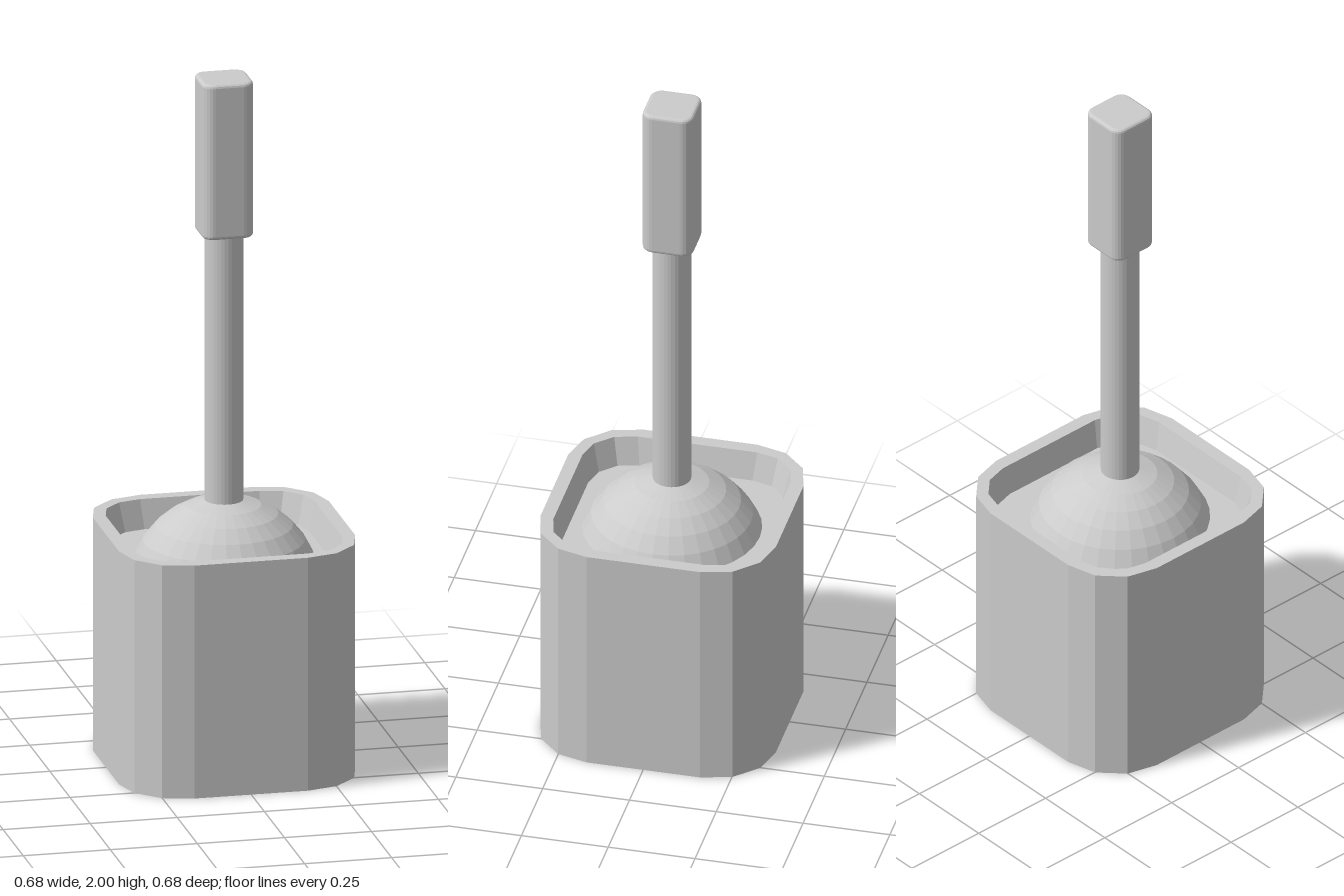
import * as THREE from 'three';

const material = new THREE.MeshStandardMaterial({ color: 0xcccccc, flatShading: true });

// Rounded square loop at height y, counter-clockwise seen from above
function roundedLoop(half, edge, y, steps) {
  const points = [];
  const r = half - edge;
  for (let corner = 0; corner < 4; corner++) {
    const turn = (corner * Math.PI) / 2;
    for (let i = 0; i <= steps; i++) {
      const a = (i / steps) * (Math.PI / 2);
      const u = edge + r * Math.cos(a);
      const v = edge + r * Math.sin(a);
      points.push([
        u * Math.cos(turn) - v * Math.sin(turn),
        y,
        -(u * Math.sin(turn) + v * Math.cos(turn)),
      ]);
    }
  }
  return points;
}

// Skin through a list of [half, edge, y] sections, closed with a fan at both ends
function loft(sections, steps) {
  const loops = sections.map(([half, edge, y]) => roundedLoop(half, edge, y, steps));
  const n = loops[0].length;
  const last = loops.length - 1;
  const base = [0, sections[0][2], 0];
  const end = [0, sections[last][2], 0];
  const pos = [];
  const tri = (a, b, c) => pos.push(...a, ...b, ...c);
  for (let j = 0; j < n; j++) {
    const k = (j + 1) % n;
    tri(base, loops[0][k], loops[0][j]);
    for (let i = 0; i < last; i++) {
      tri(loops[i][j], loops[i][k], loops[i + 1][k]);
      tri(loops[i][j], loops[i + 1][k], loops[i + 1][j]);
    }
    tri(end, loops[last][j], loops[last][k]);
  }
  const geometry = new THREE.BufferGeometry();
  geometry.setAttribute('position', new THREE.Float32BufferAttribute(pos, 3));
  geometry.computeVertexNormals();
  return geometry;
}

export function createModel() {
  const group = new THREE.Group();
  const add = (name, geometry, y = 0) => {
    const mesh = new THREE.Mesh(geometry, material);
    mesh.name = name;
    mesh.position.y = y;
    group.add(mesh);
  };

  // Holder: outer wall, flat rim and a shallow tapered recess
  add('holder', loft([
    [0.339, 0.163, 0],
    [0.339, 0.163, 0.683],
    [0.3, 0.172, 0.683],
    [0.281, 0.163, 0.6],
  ], 3));

  // Round brush head sitting in the recess
  add('brushHead', new THREE.SphereGeometry(0.2735, 32, 16), 0.495);

  // Stem from the head up into the grip
  add('stem', new THREE.CylinderGeometry(0.054, 0.054, 0.84, 32), 1.16);

  // Square grip with rounded corners and softened ends
  const edge = 0.04;
  const bevel = 0.01;
  const grip = [];
  for (let i = 0; i <= 3; i++) {
    const a = (i / 3) * (Math.PI / 2);
    grip.push([0.0635 + bevel * Math.sin(a), edge, 1.545 + bevel * (1 - Math.cos(a))]);
  }
  for (let i = 3; i >= 0; i--) {
    const a = (i / 3) * (Math.PI / 2);
    grip.push([0.0635 + bevel * Math.sin(a), edge, 2 - bevel * (1 - Math.cos(a))]);
  }
  add('grip', loft(grip, 6));

  return group;
}
